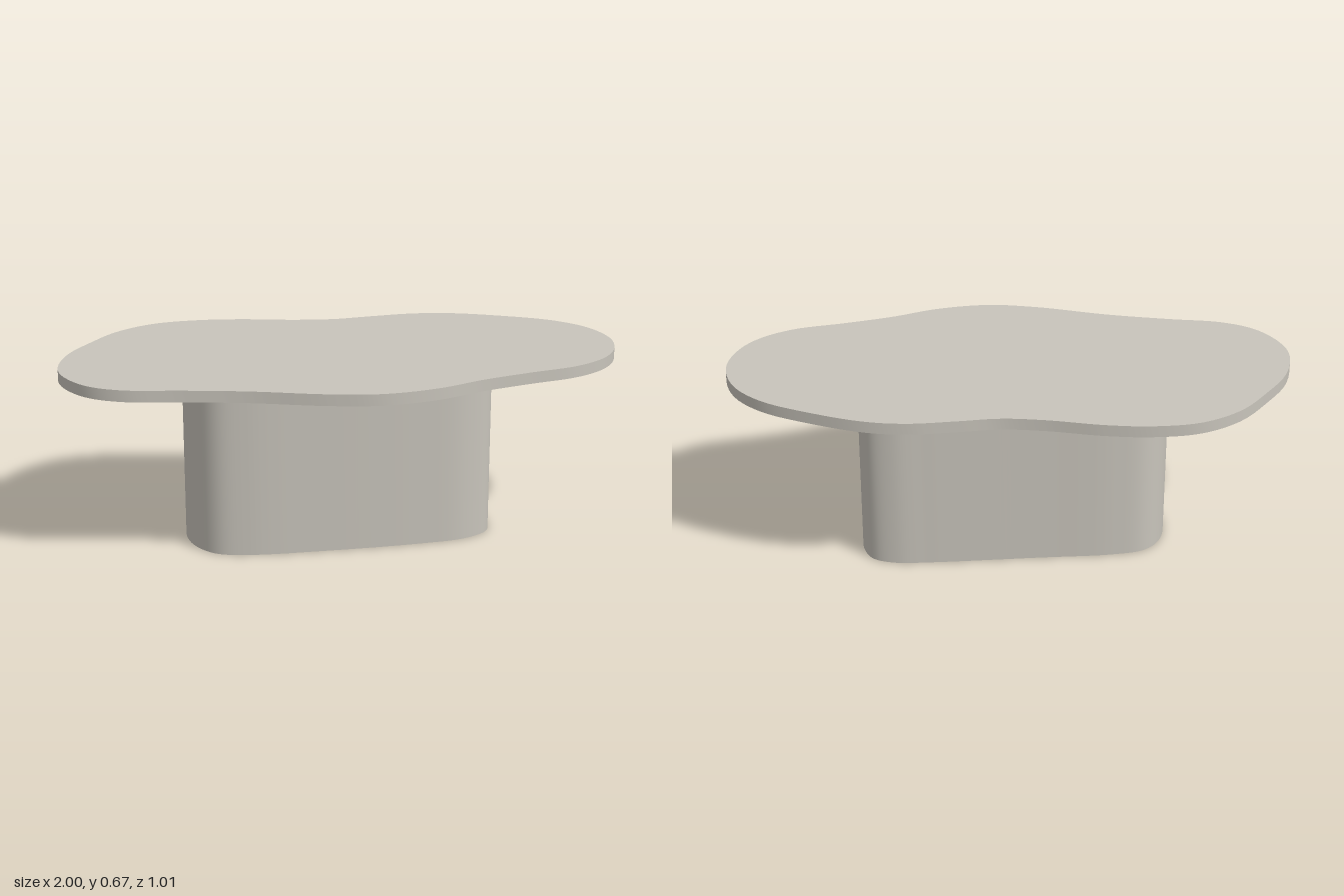
import * as THREE from 'three';
import { toCreasedNormals } from 'three/addons/utils/BufferGeometryUtils.js';

// Freeform outlines as [x, z] control points of a closed smooth curve
const TOP = [
  [1, 0], [0.96, -0.15], [0.86, -0.265], [0.68, -0.365], [0.5, -0.435], [0.36, -0.455],
  [0.2, -0.445], [0.05, -0.432], [-0.1, -0.45], [-0.3, -0.495], [-0.46, -0.51], [-0.62, -0.49],
  [-0.76, -0.41], [-0.87, -0.28], [-0.96, -0.14], [-1, 0.02], [-0.98, 0.13], [-0.91, 0.24],
  [-0.8, 0.305], [-0.6, 0.345], [-0.38, 0.395], [-0.12, 0.475], [0.06, 0.503], [0.25, 0.475],
  [0.42, 0.41], [0.6, 0.36], [0.78, 0.315], [0.9, 0.24], [0.97, 0.14],
];
const BASE = [
  [0.54, -0.06], [0.533, -0.15], [0.5, -0.215], [0.42, -0.247], [0.3, -0.25], [-0.1, -0.235],
  [-0.36, -0.225], [-0.475, -0.2], [-0.535, -0.14], [-0.565, -0.03], [-0.545, 0.09], [-0.48, 0.175],
  [-0.37, 0.208], [-0.1, 0.22], [0.25, 0.215], [0.42, 0.195], [0.516, 0.137], [0.538, 0.04],
];

// Upright slab with a smooth wall and crisp rims
function slab(name, outline, bottom, top, material) {
  const curve = new THREE.CatmullRomCurve3(
    outline.map(([x, z]) => new THREE.Vector3(x, -z, 0)), true, 'centripetal');
  const points = curve.getSpacedPoints(160).slice(0, -1);
  const shape = new THREE.Shape(points.map((p) => new THREE.Vector2(p.x, p.y)));
  const geometry = new THREE.ExtrudeGeometry(shape, { depth: top - bottom, bevelEnabled: false });
  geometry.rotateX(-Math.PI / 2).translate(0, bottom, 0);
  const mesh = new THREE.Mesh(toCreasedNormals(geometry, Math.PI / 4), material);
  mesh.name = name;
  return mesh;
}

export function createModel() {
  const stone = new THREE.MeshStandardMaterial({ color: 0xc8c4bb });
  stone.name = 'warm grey stone';

  const table = new THREE.Group();
  table.name = 'table';
  table.add(
    slab('pedestal', BASE, 0, 0.627, stone),
    slab('tabletop', TOP, 0.627, 0.668, stone),
  );
  return table;
}
